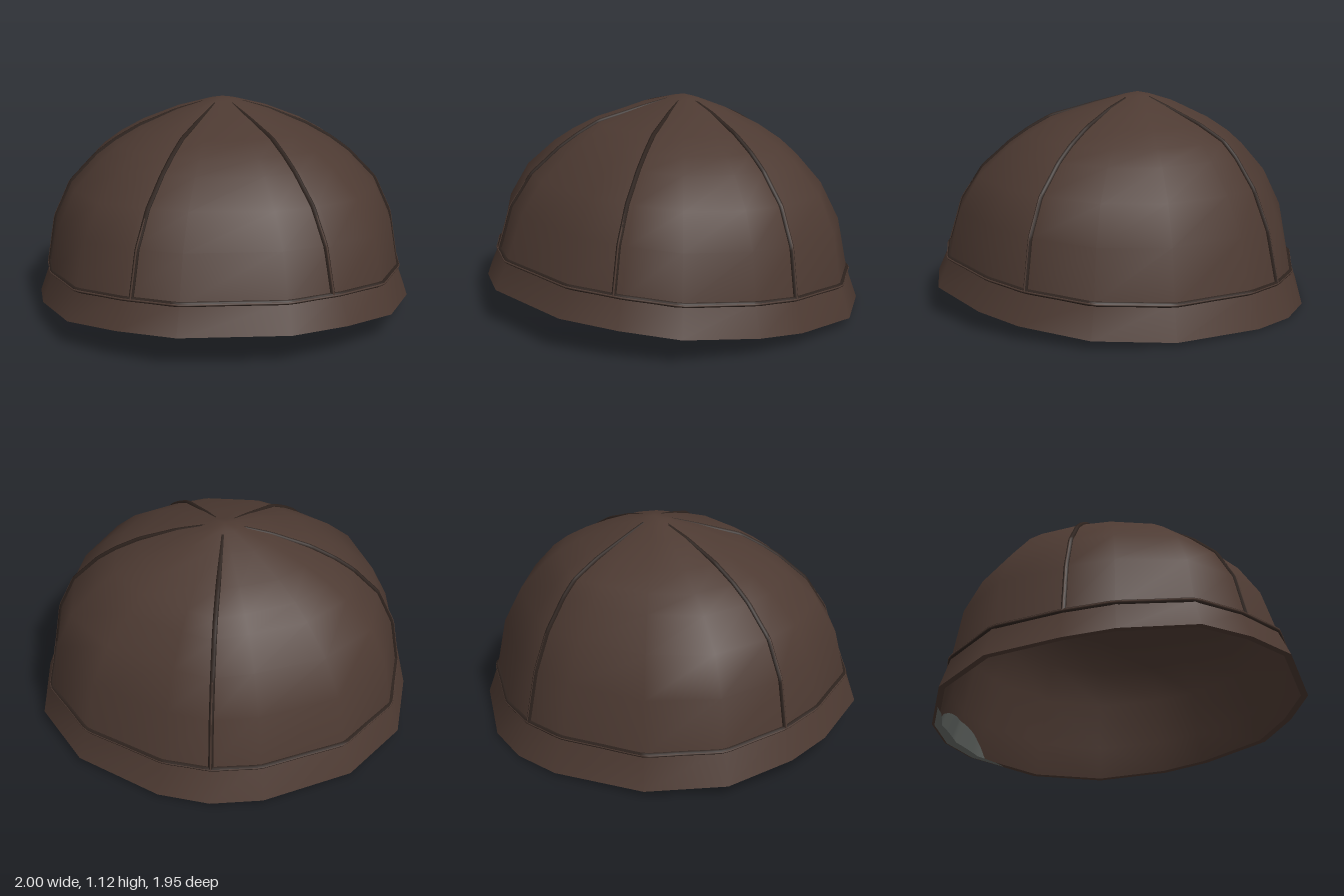
import * as THREE from 'three';
import { mergeVertices } from 'three/addons/utils/BufferGeometryUtils.js';

// Half of the rim outline, from back to front on the +x side: x, y, z
const HALF = [
  [0, 0.005, -0.975], [0.27, 0.01, -0.935], [0.71, 0.022, -0.71], [0.96, 0.045, -0.38],
  [1, 0.07, 0.01], [0.97, 0.098, 0.27], [0.82, 0.138, 0.64], [0.57, 0.16, 0.83], [0.28, 0.175, 0.97],
];
const RIM = [...HALF, ...HALF.slice(1).reverse().map(([x, y, z]) => [-x, y, z])];
const N = RIM.length;
const APEX_Y = 1.122, APEX_Z = -0.08;
const INNER = 0.965;
const BAND = 0.155;

// Dome profile: height fraction, radius fraction at side, front and back,
// and how far the panels flatten between back and sides
const PROFILE = [
  [0, 1, 1, 1, 0], [BAND, 0.942, 0.935, 0.92, 0], [0.4, 0.9, 0.86, 0.855, 0.015],
  [0.58, 0.815, 0.755, 0.765, 0.05], [0.72, 0.675, 0.62, 0.65, 0.075], [0.79, 0.575, 0.535, 0.57, 0.075],
  [0.86, 0.445, 0.435, 0.415, 0.06], [0.94, 0.245, 0.19, 0.195, 0.03],
  [0.985, 0.08, 0.06, 0.06, 0], [1, 0, 0, 0, 0],
];

// Point on the dome over one rim vertex
function column(i, h, inset) {
  const [x, y, z] = RIM[((i % N) + N) % N];
  let k = 0;
  while (k < PROFILE.length - 2 && PROFILE[k + 1][0] < h) k++;
  const a = PROFILE[k], b = PROFILE[k + 1], t = (h - a[0]) / (b[0] - a[0]);
  const dz = z - APEX_Z, c = dz / Math.hypot(x, dz), w = c ** 4;
  const at = (n) => a[n] + (b[n] - a[n]) * t;
  const flatten = at(4) * (c > 0 ? 0.3 : 1) * 3.08 * Math.abs(c) ** 3 * Math.sqrt(1 - c * c);
  const r = (at(1) * (1 - w) + at(c > 0 ? 2 : 3) * w) * (1 - flatten) * inset;
  return new THREE.Vector3(x * r, y + (APEX_Y - y) * h * Math.min(inset, 1), APEX_Z + dz * r);
}

// Point at any fractional rim position u
function dome(u, h, inset = 1) {
  const i = Math.floor(u);
  return column(i, h, inset).lerp(column(i + 1, h, inset), u - i);
}

// Smooth surface through a grid of points
function grid(us, vs, point, outward) {
  const pos = [], index = [], w = us.length;
  for (const v of vs) for (const u of us) pos.push(...point(u, v).toArray());
  for (let j = 0; j < vs.length - 1; j++) {
    for (let i = 0; i < w - 1; i++) {
      const a = j * w + i, b = a + 1, c = a + w, d = c + 1;
      if (outward) index.push(a, c, b, b, c, d);
      else index.push(a, b, c, b, d, c);
    }
  }
  let geo = new THREE.BufferGeometry();
  geo.setAttribute('position', new THREE.Float32BufferAttribute(pos, 3));
  geo.setIndex(index);
  geo = mergeVertices(geo, 1e-4);
  geo.computeVertexNormals();
  return geo;
}

const range = (a, b, n) => Array.from({ length: n + 1 }, (_, i) => a + ((b - a) * i) / n);
const halfEllipse = (u, width) => Math.sqrt(Math.max(0, 1 - (u / width) ** 2));

export function createModel() {
  const leather = new THREE.MeshStandardMaterial({ color: 0x4d3a32 });
  const thread = new THREE.MeshStandardMaterial({ color: 0x2e231e });
  const lining = new THREE.MeshStandardMaterial({ color: 0x6a6f6b, side: THREE.DoubleSide });

  const model = new THREE.Group();
  model.name = 'cap';
  const add = (name, geo, mat) => {
    const mesh = new THREE.Mesh(geo, mat);
    mesh.name = name;
    model.add(mesh);
  };

  // Outer crown, brim band, inside and underside of the rim
  const around = range(0, N, N);
  const levels = PROFILE.map((p) => p[0]);
  add('crown', grid(around, levels.slice(1), (u, h) => dome(u, h), true), leather);
  add('brimBand', grid(around, levels.slice(0, 2), (u, h) => dome(u, h), true), leather);
  add('innerShell', grid(around, levels, (u, h) => dome(u, h, INNER), false), leather);
  add('rimEdge', grid(around, [INNER, 1], (u, s) => dome(u, 0, s), true), leather);

  // Arched grey patch on the inner back wall, and its lip under the rim
  const arch = (u, v) => dome(u, v * 0.11 * halfEllipse(u, 1.15), INNER - 0.006);
  add('innerBackPatch', grid(range(-1.15, 1.15, 20), [0, 1], arch, false), lining);
  const lip = (u, v) => {
    const p = dome(u, 0, 0.985 - v * 0.06 * halfEllipse(u, 1.5));
    p.y -= 0.004;
    return p;
  };
  add('patchLip', grid(range(-1.5, 1.5, 18), [1, 0], lip, true), lining);

  // Seams: a dark cord half sunk in the surface, with a thin leather ridge on it
  const seam = (name, points, closed) => {
    const cord = (scale, radius, label, mat) => {
      const pts = points(scale);
      const curve = new THREE.CatmullRomCurve3(pts, closed, 'catmullrom', 0.15);
      add(name + label, new THREE.TubeGeometry(curve, pts.length * 4, radius, 6, closed), mat);
    };
    cord(1.001, 0.013, 'Cord', thread);
    cord(1.012, 0.005, 'Ridge', leather);
  };
  const seamLevels = [BAND, 0.28, 0.4, 0.49, 0.58, 0.65, 0.72, 0.79, 0.86, 0.9, 0.94, 0.98];
  const seams = { backSeam: 0, leftSideSeam: 4, leftFrontSeam: 7.15, rightFrontSeam: N - 7.15, rightSideSeam: N - 4 };
  for (const [name, u] of Object.entries(seams)) {
    // The upper end sinks into the crown
    seam(name, (s) => seamLevels.map((h) => {
      const p = dome(u, h, s);
      p.y -= 0.012 * Math.max(0, (h - 0.86) / 0.12);
      return p;
    }), false);
  }
  seam('bandSeam', (s) => range(0, N, N * 2).slice(0, -1).map((u) => dome(u, BAND, s)), true);

  return model;
}
